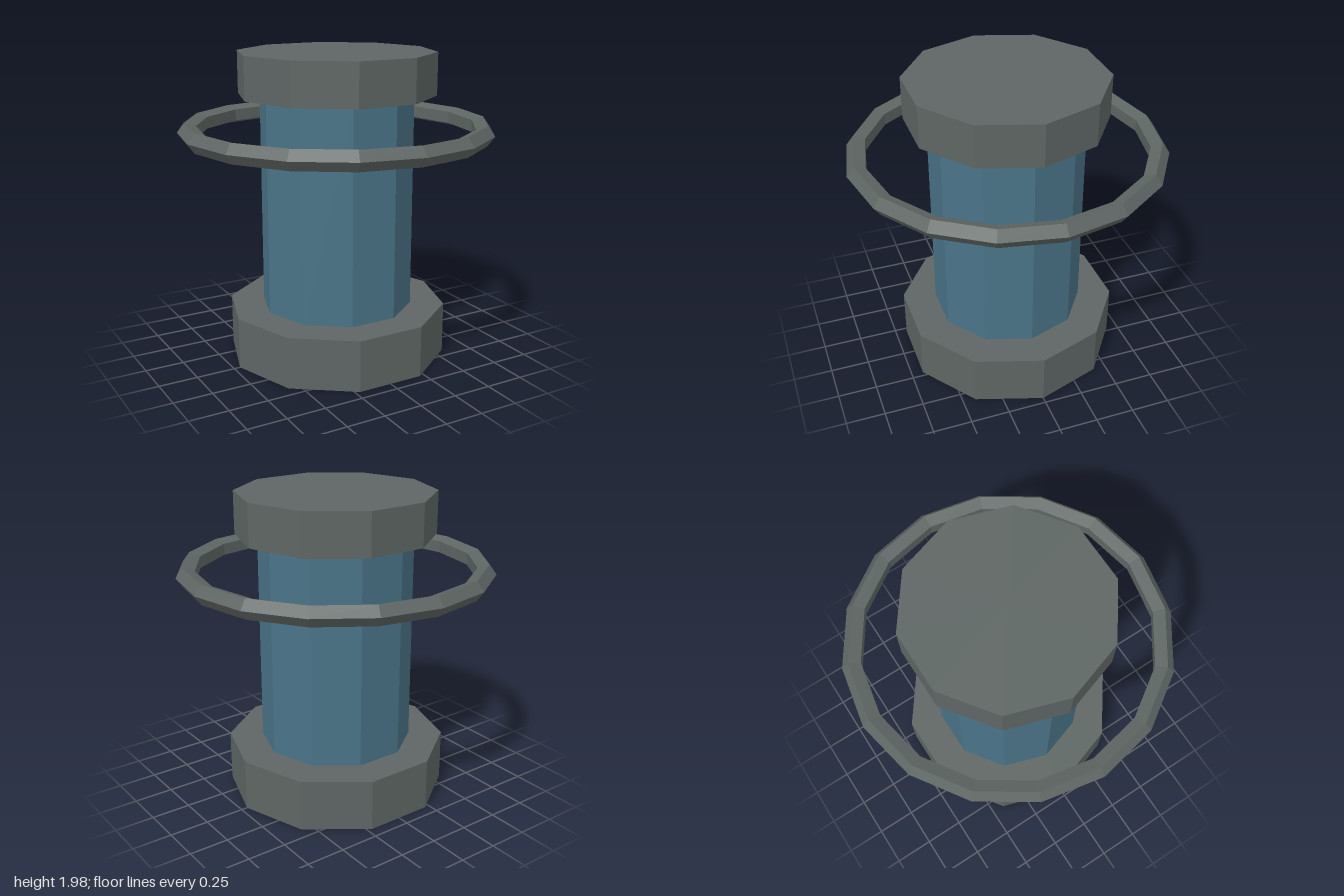
import * as THREE from 'three';

export function createModel() {
  const model = new THREE.Group();
  model.name = 'ringedCanister';

  const grey = new THREE.MeshStandardMaterial({ color: 0x5e6664, flatShading: true });
  grey.name = 'dark grey metal';
  const blue = new THREE.MeshStandardMaterial({ color: 0x4a7488, flatShading: true });
  blue.name = 'steel blue';

  // Ten-sided drum with a corner on the x axis
  const drum = (name, radius, bottom, top, material) => {
    const geometry = new THREE.CylinderGeometry(radius, radius, top - bottom, 10, 1, false, Math.PI / 2);
    const mesh = new THREE.Mesh(geometry, material);
    mesh.name = name;
    mesh.position.y = (bottom + top) / 2;
    model.add(mesh);
  };

  drum('base', 0.71, 0, 0.33, grey);
  drum('column', 0.49, 0.33, 1.705, blue);
  drum('cap', 0.63, 1.705, 1.975, grey);

  // Floating ring with a five-sided section
  const ring = new THREE.Mesh(new THREE.TorusGeometry(0.935, 0.065, 5, 16).rotateX(Math.PI / 2), grey);
  ring.name = 'ring';
  ring.position.y = 1.482;
  model.add(ring);

  return model;
}
